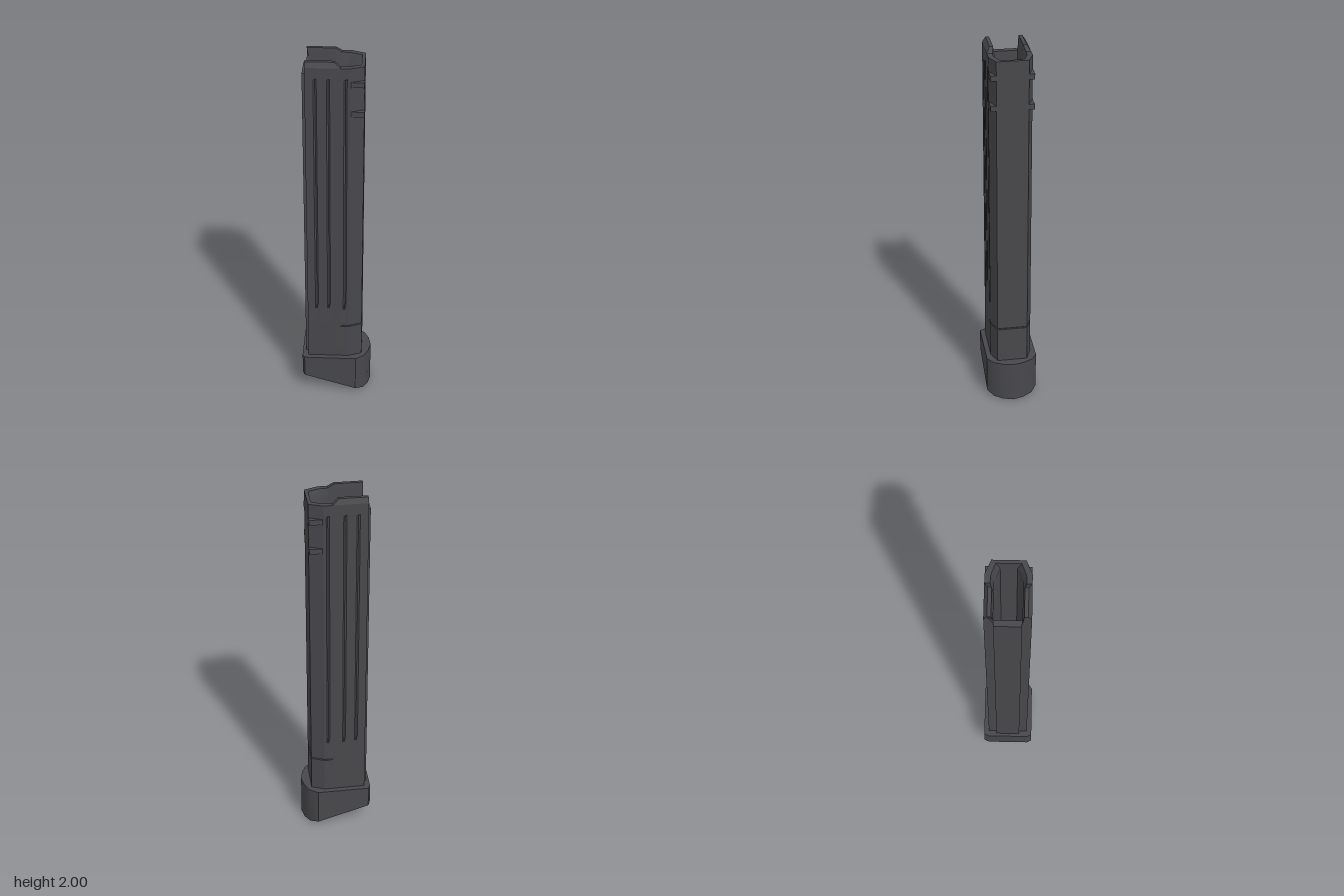
import * as THREE from 'three';
import { toCreasedNormals } from 'three/addons/utils/BufferGeometryUtils.js';

const steel = new THREE.MeshStandardMaterial({ color: 0x48484c });
steel.name = 'dark steel';

// Joins closed rings of equal point count, and caps the last one.
function loft(rings, crease) {
  const n = rings[0].length, index = [];
  for (let r = 0; r < rings.length - 1; r++) {
    for (let i = 0; i < n; i++) {
      const j = (i + 1) % n, a = r * n + i, b = r * n + j;
      index.push(a, b, b + n, a, b + n, a + n);
    }
  }
  const last = (rings.length - 1) * n;
  for (let i = 1; i < n - 1; i++) index.push(last, last + i, last + i + 1);
  const g = new THREE.BufferGeometry();
  g.setAttribute('position', new THREE.Float32BufferAttribute(rings.flat(2), 3));
  g.setIndex(index);
  return toCreasedNormals(g, crease);
}

// Upright prism from an outline of [x, z] points.
function prism(outline, y, height) {
  const shape = new THREE.Shape(outline.map(([x, z]) => new THREE.Vector2(x, -z)));
  const g = new THREE.ExtrudeGeometry(shape, { depth: height, bevelEnabled: false });
  return g.rotateX(-Math.PI / 2).translate(0, y, 0);
}

function createBody() {
  // Half outline from back to front; g marks groove bottoms.
  const half = [{ x: -0.155, z: 0.067, back: true }, { x: -0.155, z: 0.11 }];
  const groove = (c) => [-0.008, 0, 0.008].forEach((d) => half.push({ x: c + d, z: 0.11, g: d === 0 }));
  groove(-0.105);
  groove(-0.04);
  half.push({ x: -0.01, z: 0.11 }, { x: 0.02, z: 0.11 });
  groove(0.045);
  half.push({ x: 0.067, z: 0.11 }, { x: 0.137, z: 0.081, front: true });

  const ring = (fn) => {
    const side = half.map(fn);
    return [...side, ...side.map(([x, y, z]) => [x, y, -z]).reverse()];
  };
  const isLip = (p) => !p.back && p.x < 0;
  const outer = (y, depth = 0, inset = 0) => ring((p) => {
    const s = p.x > 0.03 ? inset : 0;
    return [p.x - (p.front ? s : 0), y, p.z - (p.g ? depth : 0) - s];
  });
  const innerX = (p) => (p.front ? 0.12 : p.x);
  const innerTop = (p) => (p.front ? 0.06 : p.x < 0 ? 0.075 : p.x < 0.06 ? 0.083 : 0.08);
  const innerLow = (p) => (p.front ? 0.04 : p.x > 0.06 ? 0.062 : 0.067);
  const topY = (p) => (p.back ? 1.925 : isLip(p) ? 2 : 1.975);
  const cavity = (y) => ring((p) => [Math.max(-0.14, innerX(p)), y, innerLow(p)]);

  return loft([
    outer(0.22), outer(0.436), outer(0.44, 0, 0.004), outer(0.444),
    outer(0.55), outer(0.59, 0.006), outer(1.91, 0.006), outer(1.92),
    ring((p) => [p.x, p.back ? 1.925 : 1.975, p.z]),
    ring((p) => [p.x, topY(p), isLip(p) ? 0.093 : p.z]),
    ring((p) => [p.back ? -0.14 : innerX(p), topY(p), p.back ? 0.067 : innerTop(p)]),
    cavity(1.92), cavity(1.2),
  ], 0.3);
}

function createBase() {
  const half = [[-0.188, 0.112], [-0.175, 0.137], [0.107, 0.137], [0.15, 0.107], [0.175, 0.058]];
  const outline = [...half, [0.187, 0], ...half.map(([x, z]) => [x, -z]).reverse()];
  const g = prism(outline, 0, 0.235);
  // Slope the underside down towards the front.
  const pos = g.attributes.position;
  for (let i = 0; i < pos.count; i++) {
    if (pos.getY(i) < 0.1) pos.setY(i, 0.115 * (0.187 - pos.getX(i)) / 0.375);
  }
  return toCreasedNormals(g, 0.55);
}

export function createModel() {
  const model = new THREE.Group();
  model.name = 'magazine';
  const add = (name, geometry) => {
    const mesh = new THREE.Mesh(geometry, steel);
    mesh.name = name;
    model.add(mesh);
  };

  add('body', createBody());
  add('basePad', createBase());

  // Raised strip down the back
  const spine = new THREE.BoxGeometry(0.03, 1.7, 0.132);
  add('spine', spine.translate(-0.156, 1.075, 0));

  // Small catch tabs filling the chamfered front corners
  for (const side of [1, -1]) {
    for (const y of [1.717, 1.875]) {
      const corner = [[0.07, 0.108], [0.075, 0.11], [0.137, 0.11], [0.137, 0.08]];
      const outline = corner.map(([x, z]) => [x, z * side]);
      add('catchTab', prism(outline, y, 0.028));
    }
  }
  return model;
}
